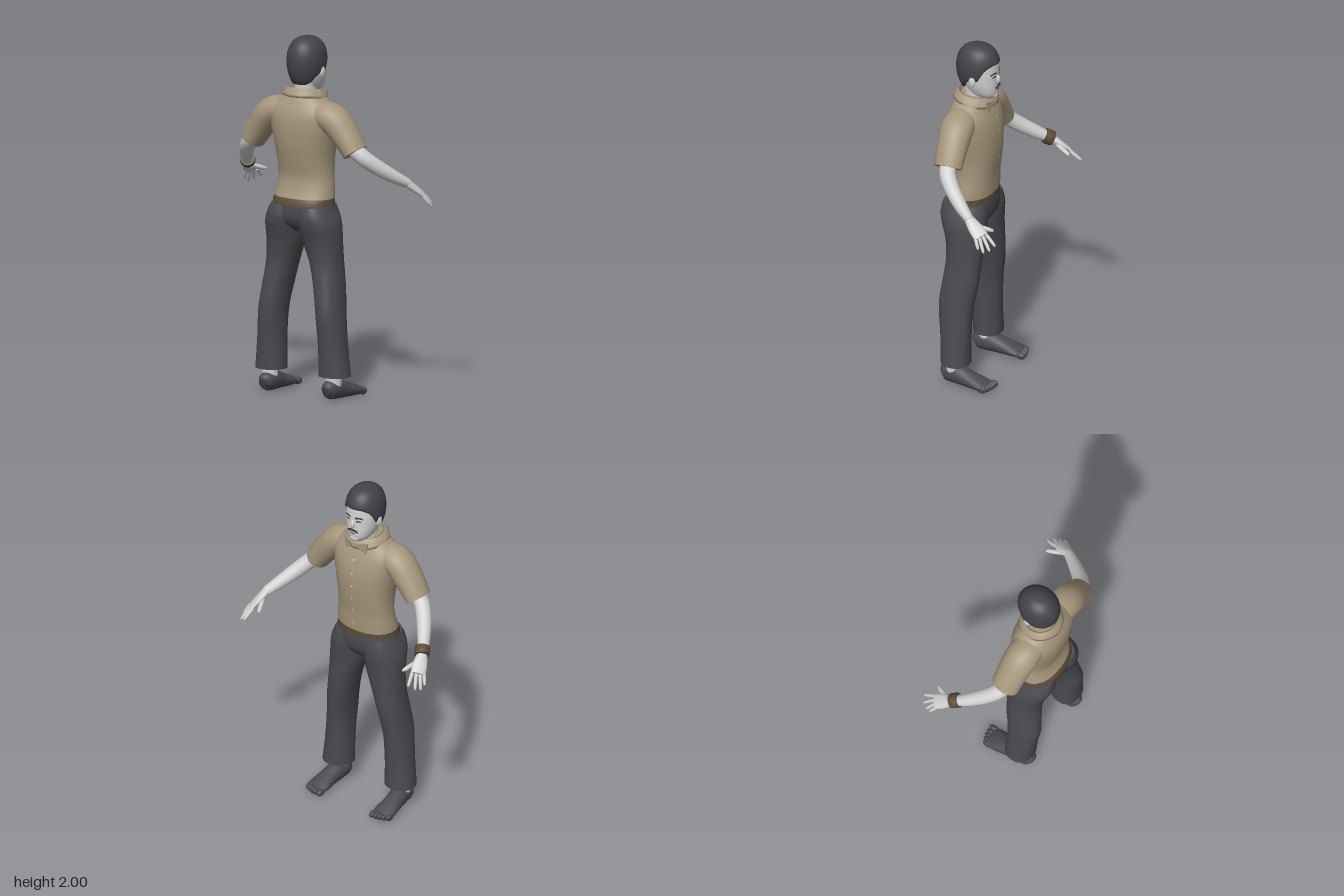
import * as THREE from 'three';

const E = 0.9; // section squareness, 1 = ellipse
const mat = (name, color) => {
  const m = new THREE.MeshStandardMaterial({ color, side: THREE.DoubleSide });
  m.name = name;
  return m;
};
const spow = (v) => Math.sign(v) * Math.abs(v) ** E;

// Smooth interpolation through rows whose first column is the parameter
function spline(rows) {
  const n = rows[0].length - 1;
  const f = new THREE.CubicInterpolant(rows.map((r) => r[0]), rows.flatMap((r) => r.slice(1)), n);
  return (t) => Array.from(f.evaluate(t));
}

// Skin a list of point rings, optionally with flat end caps
function loft(rings, capped = true) {
  const n = rings[0].length;
  const all = [...rings];
  if (capped) {
    const mid = (r) => {
      const c = r.reduce((a, p) => a.add(p), new THREE.Vector3()).divideScalar(n);
      return r.map(() => c);
    };
    const last = rings[rings.length - 1];
    all.unshift(mid(rings[0]), rings[0]);
    all.push(last, mid(last));
  }
  const index = [];
  for (let i = 0; i < all.length - 1; i++) {
    if (all[i] === all[i + 1]) continue;
    for (let j = 0; j < n; j++) {
      const k = (j + 1) % n, a = i * n, b = a + n;
      index.push(a + j, a + k, b + j, a + k, b + k, b + j);
    }
  }
  const g = new THREE.BufferGeometry().setFromPoints(all.flat());
  g.setIndex(index);
  g.computeVertexNormals();
  return g;
}

// Upright form from rows [y, centreX, halfWidth, zFront, zBack]
function column(rows, levels = 20, n = 32, capped = true) {
  const f = spline(rows), y0 = rows[0][0], y1 = rows[rows.length - 1][0], rings = [];
  for (let i = 0; i <= levels; i++) {
    const y = y0 + ((y1 - y0) * i) / levels, [cx, w, zf, zb] = f(y), ring = [];
    for (let j = 0; j < n; j++) {
      const a = (j / n) * Math.PI * 2;
      ring.push(new THREE.Vector3(cx + w * spow(Math.cos(a)), y, (zf + zb) / 2 - ((zb - zf) / 2) * spow(Math.sin(a))));
    }
    rings.push(ring);
  }
  return loft(rings, capped);
}

// Limb along points [x, y, z, radiusU, radiusV]; ref sets the U direction
function limb(pts, ref, steps = 14, n = 16) {
  const f = spline(pts.map((p, i) => [i, ...p])), end = pts.length - 1, rings = [];
  const at = (t) => new THREE.Vector3(...f(Math.min(end, Math.max(0, t))));
  for (let i = 0; i <= steps; i++) {
    const t = (end * i) / steps, c = at(t), [, , , ru, rv] = f(t);
    const d = at(t + 0.05).sub(at(t - 0.05)).normalize();
    const u = new THREE.Vector3(...ref).addScaledVector(d, -d.dot(new THREE.Vector3(...ref))).normalize();
    const v = d.clone().cross(u), ring = [];
    for (let j = 0; j < n; j++) {
      const a = (j / n) * Math.PI * 2;
      ring.push(c.clone().addScaledVector(u, ru * Math.cos(a)).addScaledVector(v, rv * Math.sin(a)));
    }
    rings.push(ring);
  }
  return loft(rings);
}

function mirror(geo) {
  const g = geo.clone().scale(-1, 1, 1), ix = g.index.array;
  for (let i = 0; i < ix.length; i += 3) [ix[i], ix[i + 1]] = [ix[i + 1], ix[i]];
  g.computeVertexNormals();
  return g;
}

// Thin patch laid on the face side of an upright form
function patch(rows, x, y, w, h, arch = 0, lift = 0.004) {
  const f = spline(rows), g = new THREE.PlaneGeometry(w, h, 8, 12).rotateY(Math.PI), p = g.attributes.position;
  for (let i = 0; i < p.count; i++) {
    const px = p.getX(i) + x, py = p.getY(i) + y - arch * (p.getX(i) / w * 2) ** 2;
    const [, hw, zf, zb] = f(py);
    const k = (1 - Math.min(1, Math.abs(px / hw)) ** (2 / E)) ** (E / 2);
    p.setXYZ(i, px, py, (zf + zb) / 2 - ((zb - zf) / 2) * k - lift);
  }
  g.computeVertexNormals();
  return g;
}

const ball = (x, y, z, rx, ry, rz) => new THREE.SphereGeometry(1, 16, 12).scale(rx, ry, rz).translate(x, y, z);

export function createModel() {
  const root = new THREE.Group();
  const skin = mat('pale skin', 0xd0d0d0), shirt = mat('tan cloth', 0xa6967c), dark = mat('charcoal cloth', 0x4b4a50);
  const hairMat = mat('dark hair', 0x434248), brown = mat('brown leather', 0x5c4a34);
  const add = (name, geo, m) => {
    const mesh = new THREE.Mesh(geo, m);
    mesh.name = name;
    root.add(mesh);
  };
  const pair = (name, geo, m) => {
    add('left' + name, geo, m);
    add('right' + name, mirror(geo), m);
  };

  // Head and neck
  const head = [[1.69, 0, 0.035, 0, 0.08], [1.705, 0, 0.055, -0.014, 0.12], [1.75, 0, 0.079, -0.022, 0.16],
    [1.8, 0, 0.091, -0.021, 0.185], [1.86, 0, 0.096, -0.018, 0.2], [1.92, 0, 0.09, -0.006, 0.195], [1.97, 0, 0.05, 0.04, 0.15]];
  add('head', column(head), skin);
  add('neck', column([[1.6, 0, 0.065, 0.05, 0.18], [1.68, 0, 0.058, 0.045, 0.17], [1.76, 0, 0.06, 0.04, 0.175]], 6), skin);
  add('nose', ball(0, 1.805, -0.02, 0.014, 0.026, 0.017), skin);
  add('chin', ball(0, 1.712, -0.005, 0.03, 0.02, 0.018), skin);
  pair('Ear', ball(0.098, 1.81, 0.088, 0.012, 0.034, 0.02), skin);
  pair('Brow', patch(head, 0.036, 1.852, 0.044, 0.01, 0.005), hairMat);
  pair('Eye', patch(head, 0.035, 1.832, 0.028, 0.008, 0.003), hairMat);
  add('moustache', patch(head, 0, 1.772, 0.064, 0.016, 0.01, 0.006), hairMat);
  add('mouth', patch(head, 0, 1.75, 0.036, 0.006), hairMat);

  // Hair cap: hairline height follows the angle from the brow to the nape
  const line = spline([[0, 1.905], [0.6, 1.9], [1, 1.87], [1.3, 1.81], [1.5, 1.82], [1.8, 1.8], [2.3, 1.75], [3.15, 1.74]]);
  const hairRings = [];
  for (let i = -1; i <= 14; i++) {
    const ring = [], s = Math.sin((Math.max(i, 0) / 14) * Math.PI / 2);
    for (let j = 0; j < 40; j++) {
      const a = (j / 40) * Math.PI * 2, edge = line(a > Math.PI ? Math.PI * 2 - a : a)[0];
      const y = edge + (1.998 - edge) * s, h = y - 1.86;
      const r = (h > 0 ? Math.max(0, 1 - (h / 0.14) ** 2.4) ** 0.42 : 1 - 0.28 * (h / 0.12) ** 2) * (i < 0 ? 0.85 : 1);
      ring.push(new THREE.Vector3(-0.106 * r * Math.sin(a), y, 0.095 - 0.125 * r * Math.cos(a)));
    }
    hairRings.push(ring);
  }
  hairRings.push(hairRings[15].map(() => new THREE.Vector3(0, 2, 0.095)));
  add('hair', mirror(mirror(loft(hairRings, false))), hairMat);

  // Shirt body, placket and buttons
  const torso = [[1.112, 0, 0.179, -0.006, 0.24], [1.15, 0, 0.175, -0.008, 0.226], [1.22, 0, 0.166, -0.012, 0.214],
    [1.32, 0, 0.166, -0.025, 0.232], [1.42, 0, 0.181, -0.03, 0.25], [1.52, 0, 0.2, -0.022, 0.256],
    [1.59, 0, 0.205, -0.002, 0.247], [1.64, 0, 0.165, 0.02, 0.225], [1.68, 0, 0.11, 0.035, 0.205], [1.7, 0, 0.085, 0.045, 0.19]];
  add('shirtBody', column(torso, 30, 40), shirt);
  add('placket', patch(torso, 0, 1.37, 0.036, 0.5), shirt);
  for (let i = 0; i < 6; i++) add('button', patch(torso, 0, 1.17 + i * 0.08, 0.01, 0.01, 0, 0.007), skin);

  // Collar: stand folded outward, dipping toward the throat
  const collarRings = [[0.078, 1.67], [0.086, 1.722], [0.098, 1.726], [0.122, 1.692], [0.125, 1.678], [0.1, 1.672]].map(([r, y]) =>
    Array.from({ length: 36 }, (_, j) => {
      const a = (j / 36) * Math.PI * 2, z = 0.113 - r * 0.97 * Math.sin(a);
      return new THREE.Vector3(r * Math.cos(a), y - Math.max(0, 0.2 - z) * 0.17, z);
    }));
  add('collar', loft(collarRings, false), shirt);
  const flap = new THREE.Shape([[0.004, 1.672], [0.08, 1.69], [0.066, 1.618]].map((p) => new THREE.Vector2(...p)));
  const flapGeo = new THREE.ExtrudeGeometry(flap, { depth: 0.006, bevelEnabled: false });
  const fp = flapGeo.attributes.position;
  for (let i = 0; i < fp.count; i++) fp.setZ(i, fp.getZ(i) - 0.016 + fp.getX(i) * 0.3);
  flapGeo.setIndex(Array.from({ length: fp.count }, (_, i) => i));
  flapGeo.computeVertexNormals();
  pair('CollarPoint', flapGeo, shirt);

  // Sleeves and arms
  pair('Sleeve', limb([[0.1, 1.59, 0.132, 0.07, 0.085], [0.2, 1.562, 0.13, 0.084, 0.094], [0.28, 1.478, 0.124, 0.076, 0.086],
    [0.342, 1.39, 0.12, 0.066, 0.08]], [1, 0.7, 0], 12, 24), shirt);
  pair('Arm', limb([[0.3, 1.44, 0.12, 0.045, 0.048], [0.37, 1.375, 0.11, 0.044, 0.046], [0.425, 1.318, 0.06, 0.043, 0.043],
    [0.485, 1.255, -0.02, 0.037, 0.037], [0.535, 1.205, -0.1, 0.028, 0.026]], [1, 0.7, 0], 16, 18), skin);

  // Hands
  const across = [0.62, -0.15, 0.72];
  pair('Palm', limb([[0.533, 1.208, -0.095, 0.028, 0.024], [0.553, 1.17, -0.145, 0.041, 0.019], [0.572, 1.137, -0.187, 0.042, 0.013]], across, 8), skin);
  const fingers = [[0.545, 1.143, -0.205, 0.563, 1.09, -0.268], [0.563, 1.138, -0.193, 0.597, 1.072, -0.25],
    [0.579, 1.133, -0.18, 0.614, 1.062, -0.22], [0.594, 1.13, -0.163, 0.619, 1.08, -0.19], [0.53, 1.175, -0.135, 0.492, 1.145, -0.226]];
  fingers.forEach(([x, y, z, X, Y, Z], i) => {
    const r = i === 4 ? 0.014 : 0.0105, m = (a, b, t) => a + (b - a) * t;
    pair(i === 4 ? 'Thumb' : 'Finger', limb([[0, 1], [0.55, 0.95], [0.9, 0.7], [1, 0.15]].map(([t, k]) =>
      [m(x, X, t), m(y, Y, t), m(z, Z, t), r * k, r * k]), across, 8, 8), skin);
  });

  // Wrist band on one arm
  add('wristBand', mirror(limb([[0.512, 1.227, -0.067, 0.041, 0.041], [0.524, 1.215, -0.086, 0.043, 0.043], [0.536, 1.203, -0.105, 0.04, 0.04]], [1, 0.7, 0], 4, 18)), brown);

  // Belt and trousers
  add('belt', column([[1.075, 0, 0.181, -0.007, 0.256], [1.1, 0, 0.179, -0.006, 0.249], [1.13, 0, 0.172, -0.002, 0.225]], 4), brown);
  add('trouserSeat', column([[0.92, 0, 0.1, 0.05, 0.18], [0.96, 0, 0.185, 0.01, 0.23], [1.0, 0, 0.205, -0.004, 0.25],
    [1.05, 0, 0.19, -0.009, 0.254], [1.09, 0, 0.178, -0.006, 0.25]], 10), dark);
  pair('TrouserLeg', column([[0.13, 0.212, 0.088, 0.05, 0.212], [0.3, 0.203, 0.077, 0.05, 0.222], [0.48, 0.19, 0.072, 0.038, 0.238],
    [0.6, 0.173, 0.076, 0.02, 0.226], [0.75, 0.145, 0.087, 0.01, 0.212], [0.88, 0.12, 0.106, 0.005, 0.23],
    [0.96, 0.112, 0.109, -0.003, 0.255], [1.02, 0.103, 0.1, -0.004, 0.264], [1.07, 0.095, 0.085, 0.005, 0.25]], 28), dark);

  // Ankles, feet and toes
  pair('Ankle', new THREE.CylinderGeometry(0.044, 0.046, 0.14, 20).translate(0.213, 0.15, 0.145), skin);
  pair('Foot', limb([[0.21, 0.05, 0.212, 0.018, 0.025], [0.21, 0.058, 0.19, 0.044, 0.05], [0.212, 0.061, 0.13, 0.051, 0.058],
    [0.22, 0.046, 0.05, 0.054, 0.045], [0.224, 0.033, -0.02, 0.063, 0.032], [0.224, 0.025, -0.065, 0.057, 0.02]], [1, 0, 0], 16, 20), dark);
  for (let i = 0; i < 5; i++) {
    const r = i === 0 ? 0.018 : 0.0135;
    pair('Toe', ball(0.18 + i * 0.0225 + (i ? 0.004 : 0), 0.024, -0.076 + i * i * 0.0016, r, 0.02, 0.03), dark);
  }
  return root;
}
